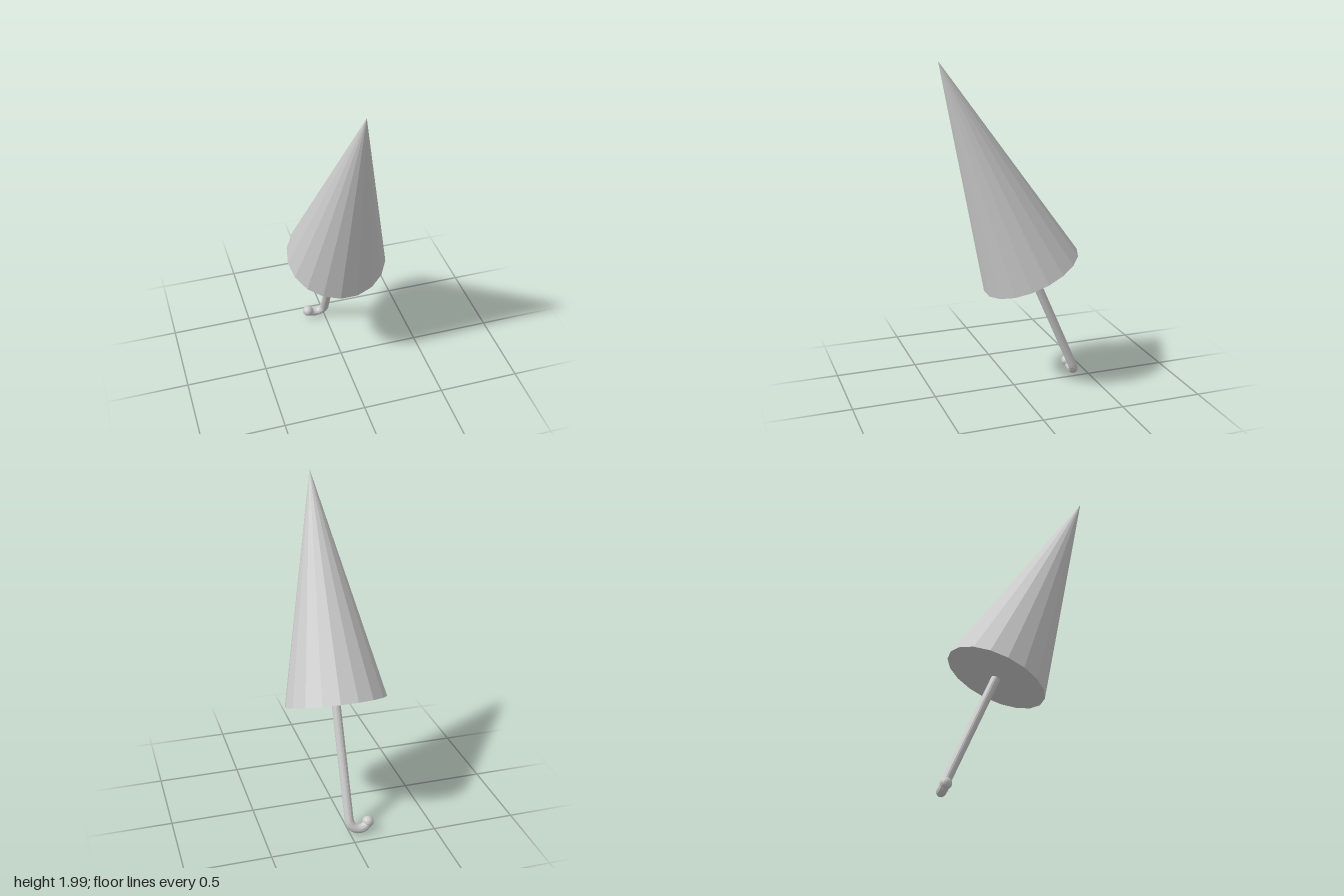
import * as THREE from 'three';

export function createModel() {
  const model = new THREE.Group();
  model.name = 'umbrella';
  const material = new THREE.MeshStandardMaterial({ color: 0xcccccc, flatShading: true });

  // Everything is built along the umbrella's axis, canopy rim at y = 0, then leaned forward
  const leaning = new THREE.Group();
  leaning.name = 'leaningUmbrella';
  leaning.position.set(0, 0.74, -0.105);
  leaning.rotation.x = Math.atan2(0.545, 1.26);
  model.add(leaning);

  const add = (name, geometry, x = 0, y = 0) => {
    const mesh = new THREE.Mesh(geometry, material);
    mesh.name = name;
    mesh.position.set(x, y, 0);
    leaning.add(mesh);
  };

  // Closed canopy: 18-sided cone with corners at the far left and right
  const height = 1.373;
  add('canopy', new THREE.ConeGeometry(0.305, height, 18, 1, false, Math.PI / 2), 0, height / 2);

  // Shaft, running a little way into the canopy
  const bendY = -0.71, top = 0.05, tube = 0.027;
  add('shaft', new THREE.CylinderGeometry(tube, tube, top - bendY, 16), 0, (top + bendY) / 2);

  // Hooked handle curling to the right, ending in a ball
  const bend = 0.06, sweep = THREE.MathUtils.degToRad(154);
  const hook = new THREE.TorusGeometry(bend, tube + 0.001, 12, 14, sweep);
  hook.rotateX(Math.PI);
  add('hook', hook, -bend, bendY);
  add('handleBall', new THREE.SphereGeometry(0.034, 16, 12),
    -bend + bend * Math.cos(sweep), bendY - bend * Math.sin(sweep));

  return model;
}
